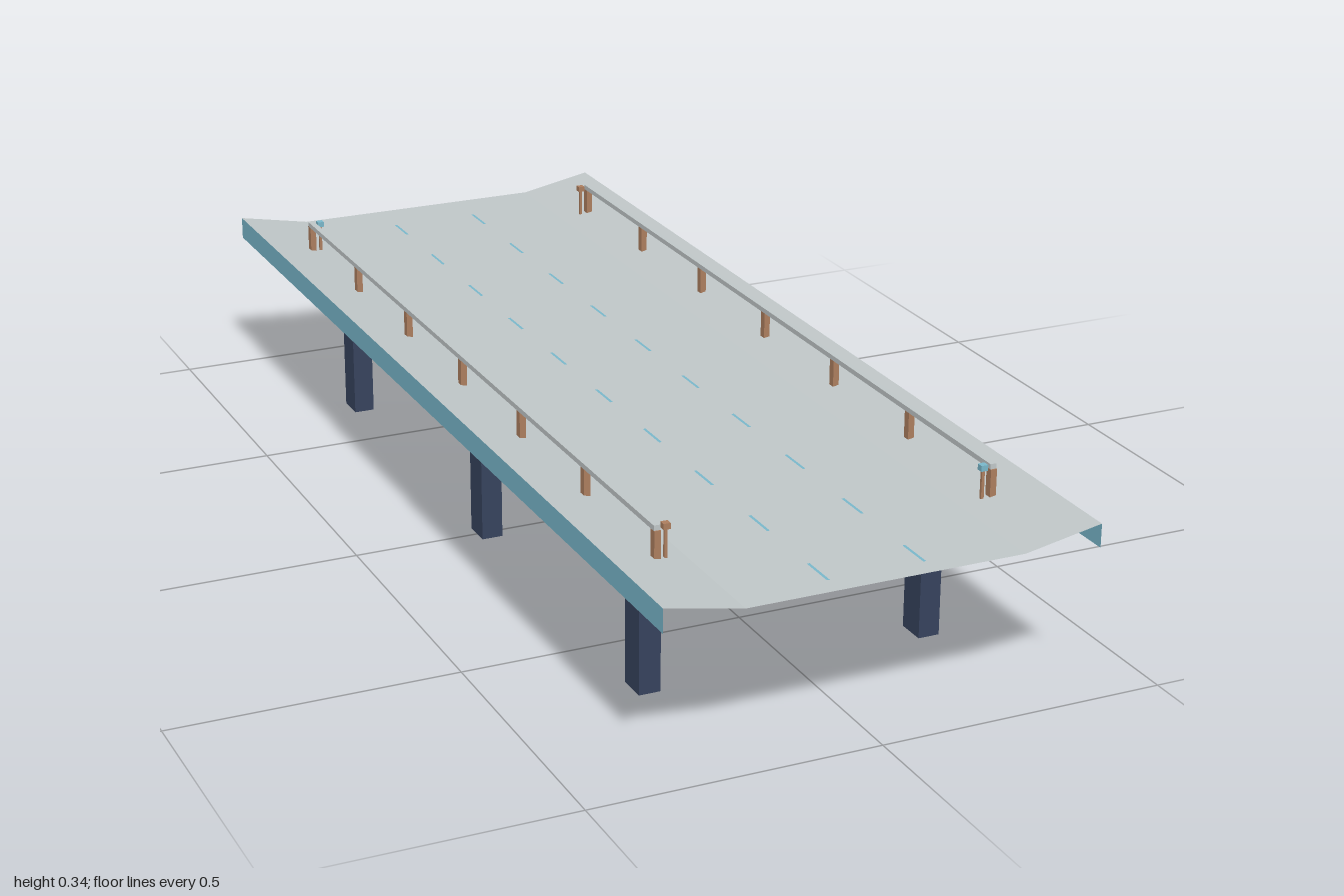
import * as THREE from 'three';

const mat = (name, color, side = THREE.FrontSide) => {
  const m = new THREE.MeshStandardMaterial({ color, side });
  m.name = name;
  return m;
};

export function createModel() {
  const concrete = mat('concrete', 0xbfc6c7, THREE.DoubleSide);
  const teal = mat('teal paint', 0x78b6c9, THREE.DoubleSide);
  const navy = mat('navy pier', 0x36425c);
  const brown = mat('brown post', 0xab7d5e);

  const root = new THREE.Group();
  root.name = 'bridge';
  const group = (name) => {
    const g = new THREE.Group();
    g.name = name;
    root.add(g);
    return g;
  };
  const box = (parent, name, material, w, h, d, x, y, z) => {
    const m = new THREE.Mesh(new THREE.BoxGeometry(w, h, d), material);
    m.name = name;
    m.position.set(x, y, z);
    parent.add(m);
    return m;
  };

  // Sheet swept along z from a profile of [x, y] points, facing up for rising x
  const sheet = (name, material, profile) => {
    const pos = [];
    for (let i = 0; i < profile.length - 1; i++) {
      const [ax, ay] = profile[i];
      const [bx, by] = profile[i + 1];
      pos.push(ax, ay, 1, bx, by, 1, bx, by, -1);
      pos.push(ax, ay, 1, bx, by, -1, ax, ay, -1);
    }
    const g = new THREE.BufferGeometry();
    g.setAttribute('position', new THREE.Float32BufferAttribute(pos, 3));
    g.computeVertexNormals();
    const m = new THREE.Mesh(g, material);
    m.name = name;
    root.add(m);
  };

  // Deck with upturned edges, and its side fascias
  const deckY = 0.279;
  sheet('deck', concrete, [[-0.375, 0.305], [-0.24, deckY], [0.24, deckY], [0.375, 0.305]]);
  sheet('leftFascia', teal, [[0.375, 0.305], [0.375, 0.264]]);
  sheet('rightFascia', teal, [[-0.375, 0.264], [-0.375, 0.305]]);

  // Lane dashes
  const dashes = group('laneDashes');
  for (const x of [-0.083, 0.083]) {
    for (let i = 0; i < 10; i++) {
      const dash = new THREE.Mesh(new THREE.PlaneGeometry(0.005, 0.066), teal);
      dash.name = 'laneDash';
      dash.rotation.x = -Math.PI / 2;
      dash.position.set(x, deckY + 0.001, -0.87 + i * 0.2);
      dashes.add(dash);
    }
  }

  // Piers: two columns, a cross beam and bearing pads
  for (const z of [-0.667, 0, 0.667]) {
    const pier = group('pier');
    box(pier, 'crossBeam', navy, 0.58, 0.034, 0.058, 0, 0.242, z);
    for (const s of [-1, 1]) {
      box(pier, 'column', navy, 0.038, 0.225, 0.053, s * 0.254, 0.1125, z);
      box(pier, 'bearingPad', navy, 0.038, 0.01, 0.06, s * 0.254, 0.263, z);
    }
  }

  // Railings with seven posts, and a short slim marker post at each end
  for (const s of [-1, 1]) {
    const railing = group(s > 0 ? 'leftRailing' : 'rightRailing');
    box(railing, 'rail', concrete, 0.011, 0.009, 1.61, s * 0.2945, 0.3405, 0);
    for (let i = 0; i < 7; i++) {
      box(railing, 'post', brown, 0.011, 0.061, 0.014, s * 0.2945, 0.3055, -0.8 + i * 1.6 / 6);
    }
    for (const e of [-1, 1]) {
      box(railing, 'endMarkerPost', brown, 0.005, 0.055, 0.005, s * 0.278, 0.3075, e * 0.8);
      box(railing, 'endMarkerCap', s === e ? teal : brown, 0.012, 0.01, 0.012, s * 0.278, 0.34, e * 0.8);
    }
  }

  return root;
}
